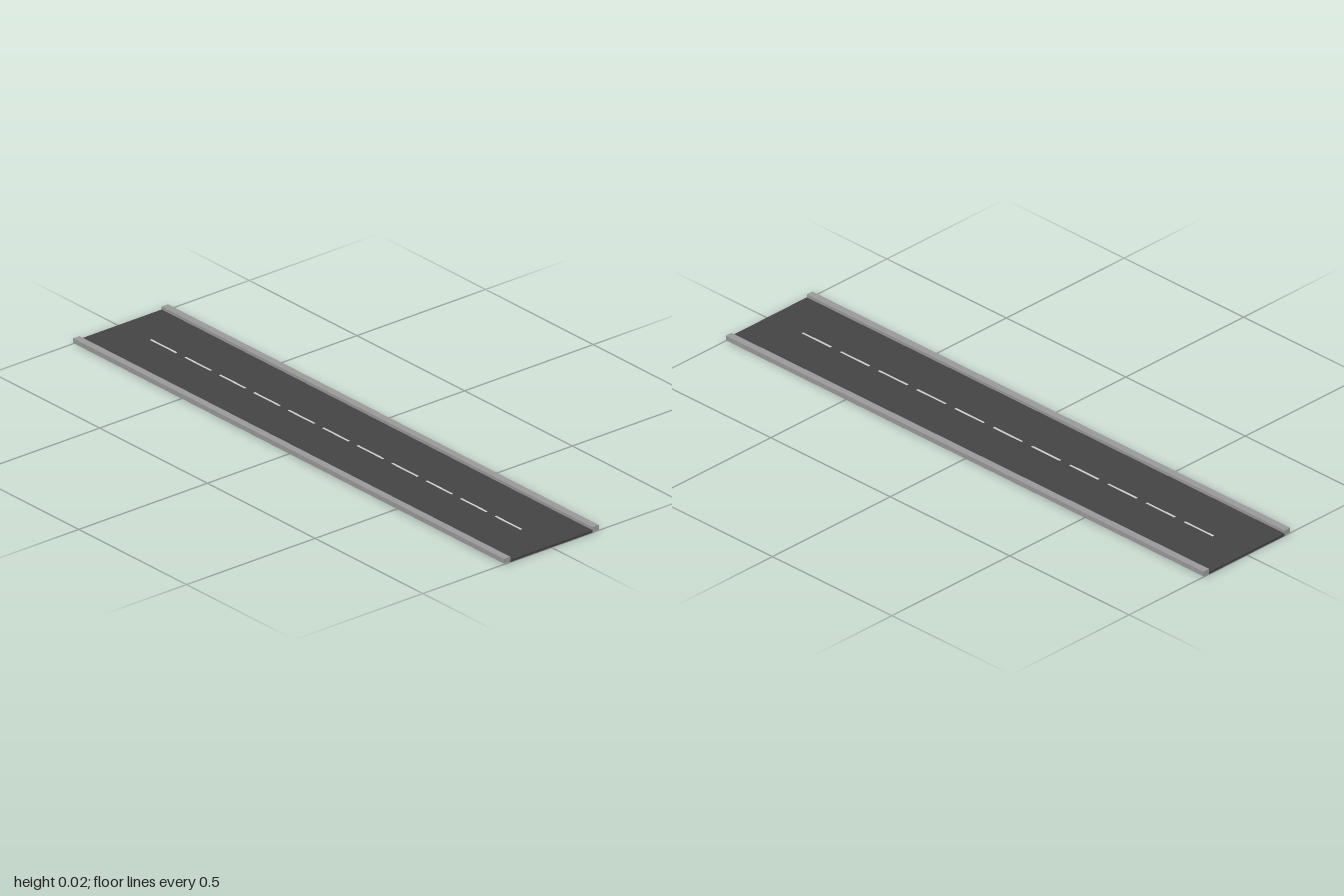
import * as THREE from 'three';

const LENGTH = 2, ROAD_WIDTH = 0.32, ROAD_HEIGHT = 0.008;
const CURB_WIDTH = 0.024, CURB_HEIGHT = 0.016, CURB_BASE = 0.002;
const DASH_COUNT = 11, DASH_STEP = 0.16;

export function createModel() {
  const model = new THREE.Group();
  model.name = 'road';

  const asphalt = new THREE.MeshStandardMaterial({ color: 0x444444 });
  const concrete = new THREE.MeshStandardMaterial({ color: 0x999999 });
  const paint = new THREE.MeshStandardMaterial({ color: 0xffffff });

  // Box resting on height y
  function addBox(parent, name, material, [w, h, d], [x, y, z]) {
    const mesh = new THREE.Mesh(new THREE.BoxGeometry(w, h, d), material);
    mesh.name = name;
    mesh.position.set(x, y + h / 2, z);
    parent.add(mesh);
  }

  // Road surface
  addBox(model, 'roadSurface', asphalt, [ROAD_WIDTH, ROAD_HEIGHT, LENGTH], [0, 0, 0]);

  // Raised curbs along both edges
  for (const side of [-1, 1]) {
    addBox(model, side > 0 ? 'leftCurb' : 'rightCurb', concrete,
      [CURB_WIDTH, CURB_HEIGHT, LENGTH],
      [side * (ROAD_WIDTH + CURB_WIDTH) / 2, CURB_BASE, 0]);
  }

  // Dashed centre line, painted slightly proud of the surface
  const centreLine = new THREE.Group();
  centreLine.name = 'centreLine';
  for (let i = 0; i < DASH_COUNT; i++) {
    const z = (i - (DASH_COUNT - 1) / 2) * DASH_STEP;
    addBox(centreLine, 'laneDash', paint, [0.007, 0.001, 0.12], [0, ROAD_HEIGHT - 0.0002, z]);
  }
  model.add(centreLine);

  return model;
}
